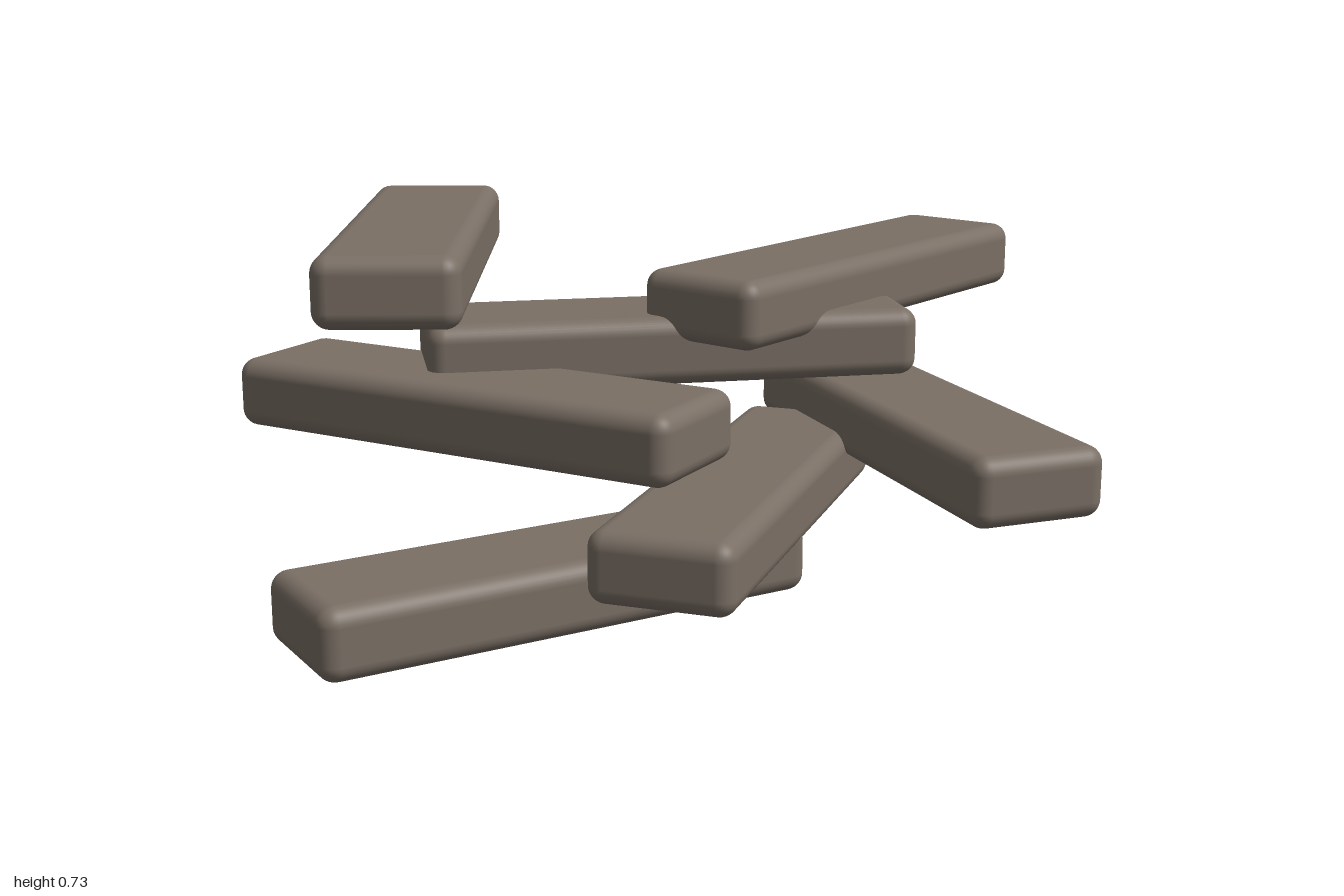
import * as THREE from 'three';
import { RoundedBoxGeometry } from 'three/addons/geometries/RoundedBoxGeometry.js';

const LENGTH = 1.068, HEIGHT = 0.149, WIDTH = 0.298, EDGE = 0.037;
const STEP = 0.0968; // rise from one block to the next

// Blocks from bottom to top: centre x, centre z, turn in degrees
const BLOCKS = [
  [-0.466, 0.297, 0],
  [-0.006, 0.297, 40],
  [0.455, 0.297, 80],
  [-0.466, -0.01, 120],
  [-0.006, -0.01, 160],
  [0.455, -0.01, 20],
  [-0.466, -0.318, 60],
];

export function createModel() {
  const model = new THREE.Group();
  model.name = 'blockPile';

  const stone = new THREE.MeshStandardMaterial({ color: 0x7a6f65 });
  stone.name = 'greyBrownStone';

  // One softly rounded block shared by the whole pile
  const geometry = new RoundedBoxGeometry(LENGTH, HEIGHT, WIDTH, 4, EDGE);

  BLOCKS.forEach(([x, z, turn], i) => {
    const block = new THREE.Mesh(geometry, stone);
    block.name = `block${i + 1}`;
    block.position.set(x, HEIGHT / 2 + i * STEP, z);
    block.rotation.y = THREE.MathUtils.degToRad(turn);
    model.add(block);
  });

  return model;
}
